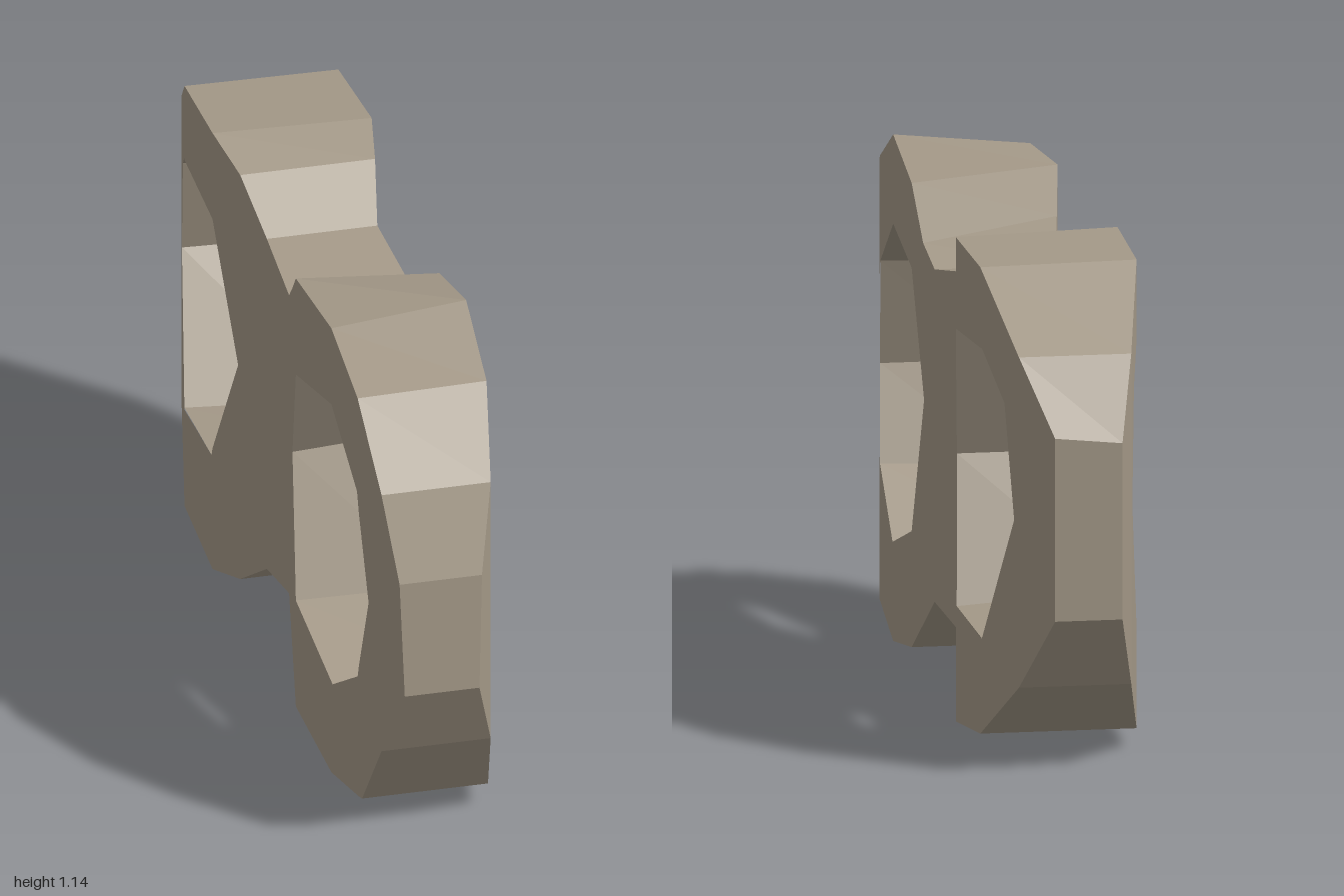
import * as THREE from 'three';

// Outlines as [z, y on the left side, y on the right side, optional z on the right side]
const OUTER = [
  [0.55, 1.14, 1.11], [0.31, 1.08, 1.11], [0.19, 0.97, 1.02], [0.07, 0.935, 0.935],
  [-0.13, 0.97, 0.97], [-0.25, 1.07, 1.07], [-0.38, 1.1, 1.11], [-0.64, 1.085, 1.09],
  [-0.88, 0.93, 0.93], [-1, 0.77, 0.755], [-1, 0.36, 0.36], [-0.88, 0.19, 0.19],
  [-0.64, 0.04, 0.04], [-0.38, 0.015, 0.02], [-0.25, 0.06, 0.06], [-0.13, 0.165, 0.145],
  [0.07, 0.19, 0.19], [0.31, 0.04, 0.04], [0.55, 0.005, 0], [0.79, 0.06, 0.06],
  [0.91, 0.24, 0.24], [1, 0.42, 0.42], [0.98, 0.69, 0.69], [0.91, 0.88, 0.88], [0.76, 1.05, 1.045],
];
const FRONT_HOLE = [
  [0.83, 0.57, 0.57], [0.755, 0.815, 0.81], [0.55, 0.94, 0.92], [0.31, 0.89, 0.87],
  [0.18, 0.62, 0.61, 0.19], [0.31, 0.3, 0.305], [0.56, 0.225, 0.225], [0.76, 0.36, 0.35],
];
const BACK_HOLE = [
  [-0.26, 0.59, 0.59], [-0.38, 0.895, 0.895], [-0.65, 0.905, 0.905], [-0.79, 0.81, 0.83, -0.76],
  [-0.85, 0.56, 0.58, -0.83], [-0.65, 0.255, 0.28], [-0.39, 0.275, 0.3],
];
// Distance of each side face from the middle: [z, left, right]
const WIDTH = [
  [-1, 0.06, 0.09], [-0.88, 0.12, 0.13], [-0.64, 0.165, 0.183], [-0.38, 0.175, 0.185],
  [-0.25, 0.15, 0.155], [-0.13, 0.125, 0.125], [0.07, 0.145, 0.125], [0.31, 0.155, 0.17],
  [0.55, 0.155, 0.15], [0.77, 0.148, 0.143], [0.91, 0.12, 0.127], [1, 0.072, 0.097],
];

function sideX(z, side) {
  let i = 0;
  while (i < WIDTH.length - 2 && z > WIDTH[i + 1][0]) i++;
  const a = WIDTH[i], b = WIDTH[i + 1], k = side > 0 ? 1 : 2;
  return side * THREE.MathUtils.mapLinear(z, a[0], b[0], a[k], b[k]);
}

const point = (z, y, side) => [sideX(z, side), y, z];
const onSide = (loop, side) => loop.map(([z, l, r, zr = z]) => (side > 0 ? [z, l] : [zr, r]));

function meshFromQuads(quads, material, name) {
  const pos = quads.flatMap(([a, b, c, d]) => [a, b, c, a, c, d].flat());
  const geo = new THREE.BufferGeometry();
  geo.setAttribute('position', new THREE.Float32BufferAttribute(pos, 3));
  geo.computeVertexNormals();
  const mesh = new THREE.Mesh(geo, material);
  mesh.name = name;
  return mesh;
}

// Side face, filled in upright strips between the outline and the holes
function faceQuads(loops, side) {
  const edges = loops.flatMap((loop) => {
    const pts = onSide(loop, side);
    return pts.map((p, i) => [p, pts[(i + 1) % pts.length]]);
  });
  const zs = [...new Set([...edges.map((e) => e[0][0]), ...WIDTH.map((w) => w[0])])].sort((a, b) => a - b);
  const quads = [];
  for (let i = 0; i < zs.length - 1; i++) {
    const z0 = zs[i], z1 = zs[i + 1], mid = (z0 + z1) / 2;
    const at = ([p, q], z) => THREE.MathUtils.mapLinear(z, p[0], q[0], p[1], q[1]);
    const cross = edges
      .filter(([p, q]) => (p[0] < mid) !== (q[0] < mid))
      .sort((a, b) => at(a, mid) - at(b, mid));
    for (let k = 0; k + 1 < cross.length; k += 2) {
      const lo = cross[k], hi = cross[k + 1];
      const quad = [
        point(z0, at(lo, z0), side), point(z0, at(hi, z0), side),
        point(z1, at(hi, z1), side), point(z1, at(lo, z1), side),
      ];
      quads.push(side > 0 ? quad : quad.reverse());
    }
  }
  return quads;
}

// Wall joining the two sides of a loop
function wallQuads(loop, inward) {
  const left = onSide(loop, 1), right = onSide(loop, -1);
  return loop.map((_, i) => {
    const j = (i + 1) % loop.length;
    const quad = [point(...right[j], -1), point(...right[i], -1), point(...left[i], 1), point(...left[j], 1)];
    return inward ? quad.reverse() : quad;
  });
}

export function createModel() {
  const group = new THREE.Group();
  group.name = 'doubleRingLink';
  const stone = new THREE.MeshStandardMaterial({ color: 0xa39887, flatShading: true });
  stone.name = 'warm stone';
  const loops = [OUTER, FRONT_HOLE, BACK_HOLE];
  group.add(
    meshFromQuads(faceQuads(loops, 1), stone, 'leftFace'),
    meshFromQuads(faceQuads(loops, -1), stone, 'rightFace'),
    meshFromQuads(wallQuads(OUTER, false), stone, 'outerRim'),
    meshFromQuads(wallQuads(FRONT_HOLE, true), stone, 'frontHoleWall'),
    meshFromQuads(wallQuads(BACK_HOLE, true), stone, 'backHoleWall'),
  );
  return group;
}
